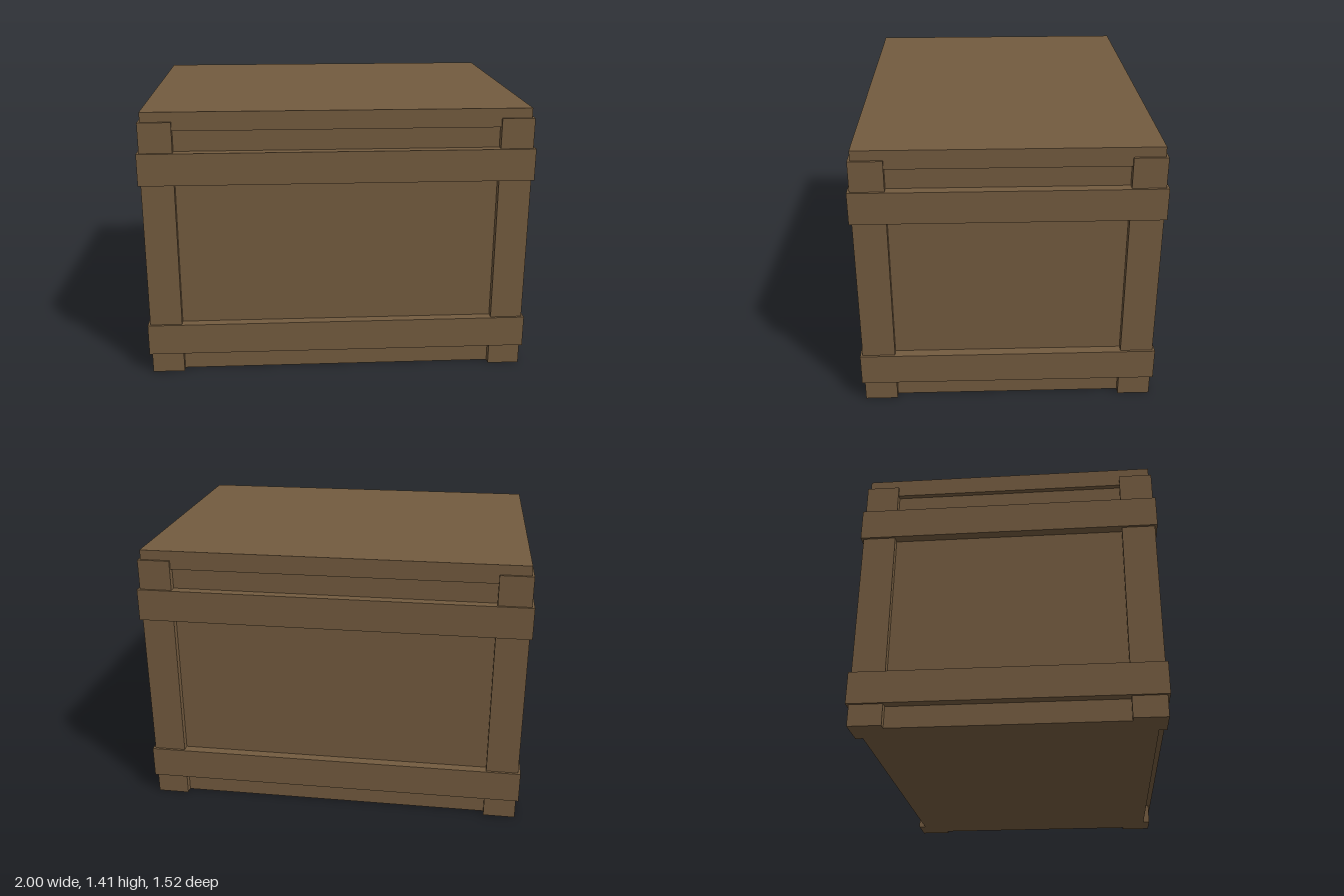
import * as THREE from 'three';

export function createModel() {
  const crate = new THREE.Group();
  crate.name = 'crate';

  const wood = new THREE.MeshStandardMaterial({ color: 0x735b3f });
  wood.name = 'brownWood';

  // Box given by width, depth, bottom and top heights
  function board(name, w, d, y0, y1, x = 0, z = 0) {
    const mesh = new THREE.Mesh(new THREE.BoxGeometry(w, y1 - y0, d), wood);
    mesh.name = name;
    mesh.position.set(x, (y0 + y1) / 2, z);
    crate.add(mesh);
  }

  // Recessed side panels and floor
  board('body', 1.9, 1.424, 0, 1.32);

  // Overhanging lid
  board('lid', 1.95, 1.474, 1.314, 1.41);

  // Corner posts, slightly proud of the lid edge
  const post = 0.166, postX = 0.9875, postZ = 0.7495;
  for (const sx of [-1, 1]) {
    for (const sz of [-1, 1]) {
      board('cornerPost', post, post, 0, 1.36,
        sx * (postX - post / 2), sz * (postZ - post / 2));
    }
  }

  // Bands wrapped around the posts
  board('lowerBand', 2, 1.524, 0.11, 0.275);
  board('upperBand', 2, 1.524, 1.04, 1.205);

  return crate;
}
